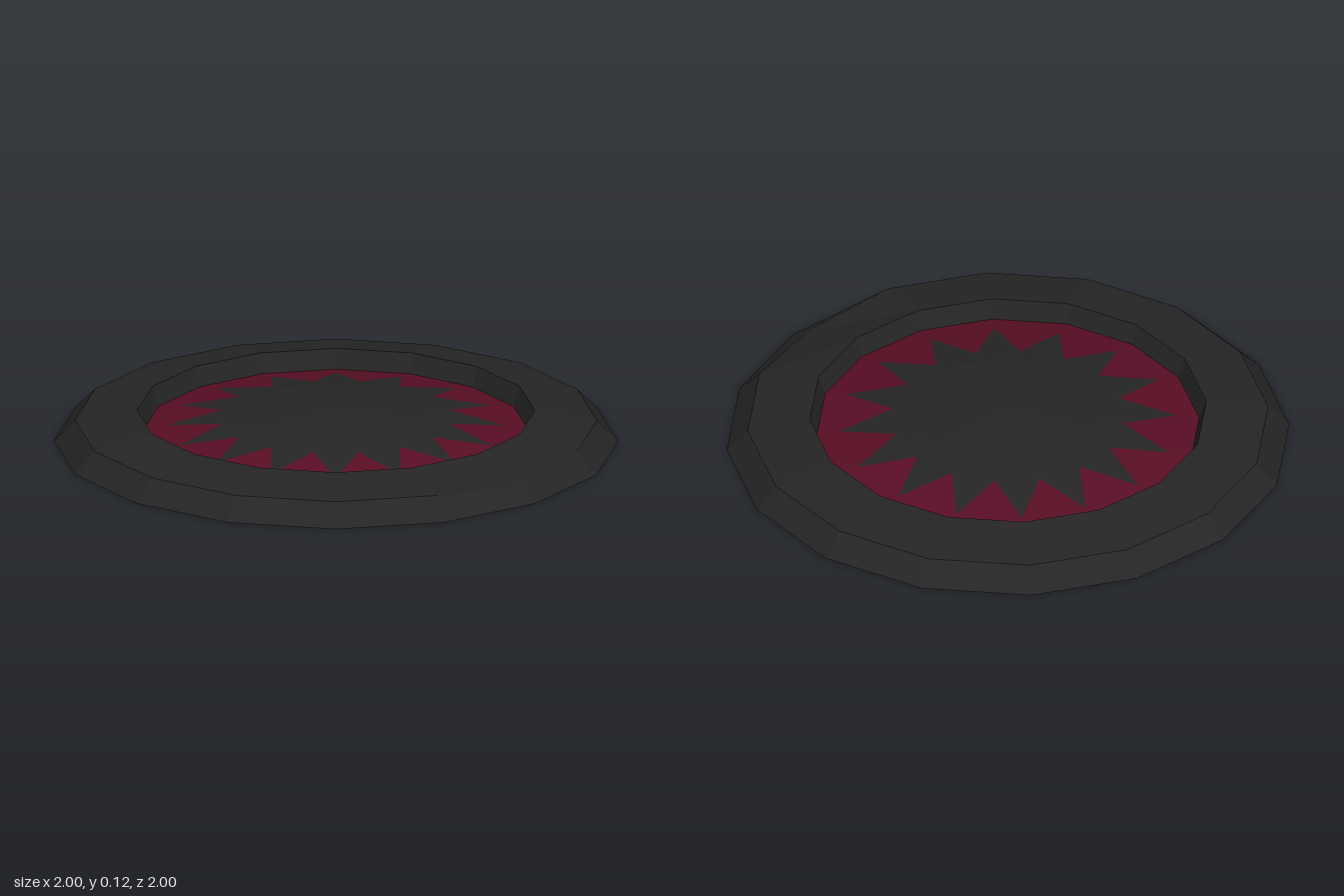
import * as THREE from 'three';

const SIDES = 16;
const STEP = (Math.PI * 2) / SIDES;

// Point on the shield: k counts sixteenths of a turn
const polar = (k, r, y) => [Math.sin(k * STEP) * r, y, Math.cos(k * STEP) * r];

function faceted(triangles) {
  const geometry = new THREE.BufferGeometry();
  geometry.setAttribute('position', new THREE.Float32BufferAttribute(triangles.flat(), 3));
  geometry.computeVertexNormals();
  return geometry;
}

function lathe(profile) {
  return new THREE.LatheGeometry(profile.map(([r, y]) => new THREE.Vector2(r, y)), SIDES);
}

export function createModel() {
  const group = new THREE.Group();
  const black = new THREE.MeshStandardMaterial({ color: 0x252525, flatShading: true, side: THREE.DoubleSide });
  black.name = 'charcoal';
  const red = new THREE.MeshStandardMaterial({ color: 0x590e24, flatShading: true, side: THREE.DoubleSide });
  red.name = 'dark red';

  const add = (name, geometry, material) => {
    const mesh = new THREE.Mesh(geometry, material);
    mesh.name = name;
    group.add(mesh);
  };

  // Outer rim: open shell with a steep bevel and a gently sloping top
  const rim = lathe([[1, 0], [0.925, 0.078], [0.705, 0.115]]);
  const p = rim.attributes.position;
  for (let i = 0; i < p.count; i++) {
    // One dented corner on the +x side
    if (Math.abs(p.getX(i) - 0.925) < 0.01 && Math.abs(p.getZ(i)) < 0.01) p.setY(i, 0.05);
  }
  const rimFlat = rim.toNonIndexed();
  rimFlat.computeVertexNormals();
  add('rim', rimFlat, black);

  // Wall stepping down from the rim to the centre plate
  const wall = lathe([[0.705, 0.115], [0.68, 0.045]]).toNonIndexed();
  wall.computeVertexNormals();
  add('innerWall', wall, black);

  // Domed centre: dark cap and spikes, red field between them
  const cap = [], spikes = [], field = [];
  const top = [0, 0.118, 0];
  for (let k = 0; k < SIDES; k++) {
    const a = polar(k, 0.34, 0.103);
    const b = polar(k + 0.5, 0.34, 0.103);
    const c = polar(k + 1, 0.34, 0.103);
    const valley = polar(k + 0.5, 0.41, 0.091);
    const tip = polar(k, 0.6, 0.059);
    const nextTip = polar(k + 1, 0.6, 0.059);
    const edge = polar(k, 0.68, 0.045);
    const nextEdge = polar(k + 1, 0.68, 0.045);
    cap.push(top, a, b, top, b, c);
    spikes.push(a, tip, valley, a, valley, b, b, valley, c, c, valley, nextTip);
    field.push(tip, edge, valley, valley, edge, nextEdge, valley, nextEdge, nextTip);
  }
  add('domeCap', faceted(cap), black);
  add('starSpikes', faceted(spikes), black);
  add('redField', faceted(field), red);

  return group;
}
